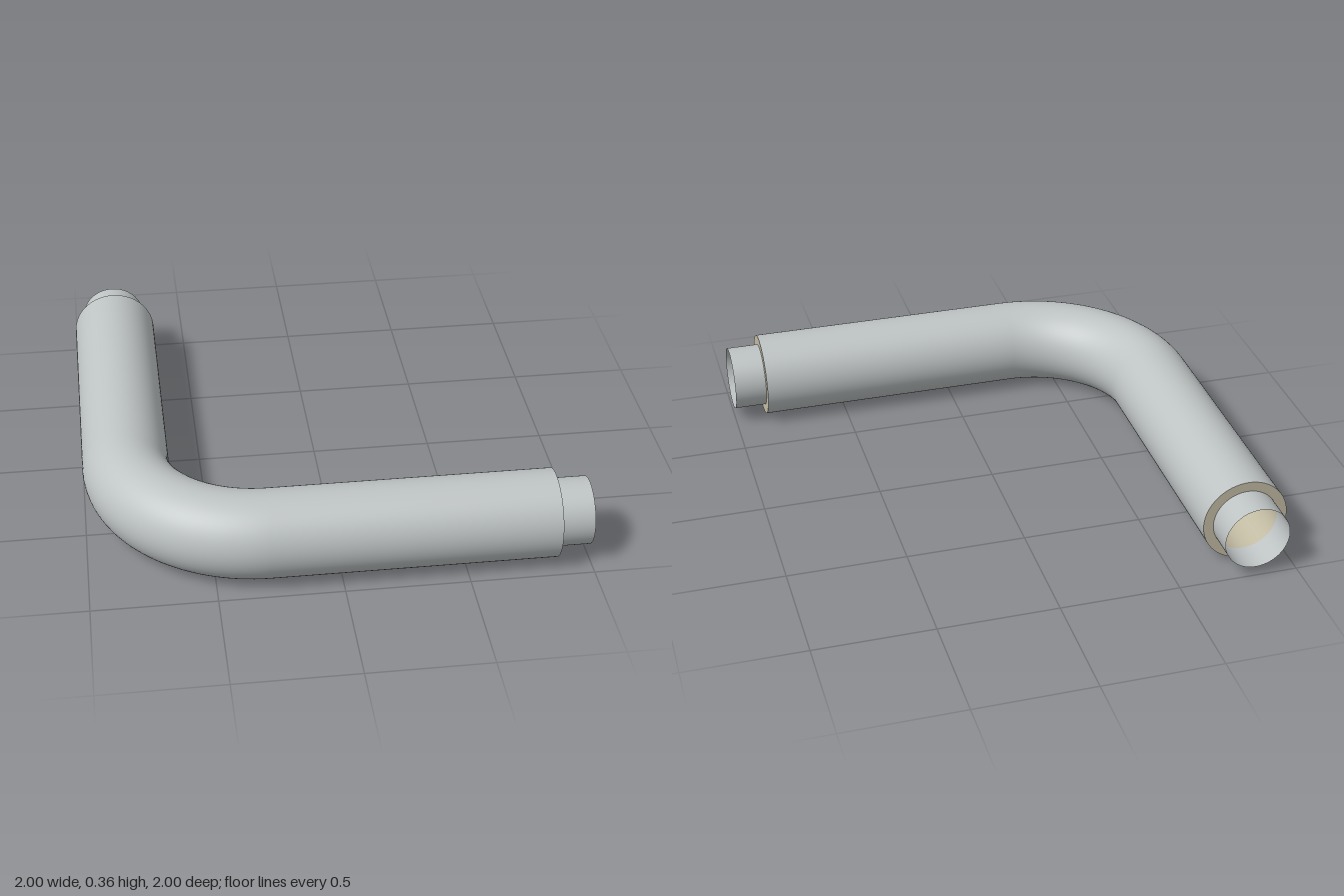
import * as THREE from 'three';

const OUTER = 0.179;        // jacket radius
const BORE = 0.137;         // inner pipe radius
const AXIS = 1 - OUTER;     // distance of each leg's axis from the centre
const BEND = 3 * OUTER;     // bend radius of the axis
const END = 0.862;          // where the jacket stops
const SIDES = 64;

// Axis of the elbow: straight leg, quarter bend, straight leg
class ElbowAxis extends THREE.Curve {
  getPoint(t, target = new THREE.Vector3()) {
    const corner = AXIS - BEND;
    const leg = END + corner;
    const arc = BEND * Math.PI / 2;
    const s = t * (2 * leg + arc);
    if (s <= leg) return target.set(-AXIS, OUTER, s - END);
    if (s >= leg + arc) return target.set(s - leg - arc - corner, OUTER, AXIS);
    const a = (s - leg) / BEND;
    return target.set(-corner - BEND * Math.cos(a), OUTER, corner + BEND * Math.sin(a));
  }
  getPointAt(t, target) { return this.getPoint(t, target); }
  getTangentAt(t, target) { return this.getTangent(t, target); }
}

export function createModel() {
  const group = new THREE.Group();
  const steel = new THREE.MeshStandardMaterial({ name: 'grey steel', color: 0xbec3c3, side: THREE.DoubleSide });
  const foam = new THREE.MeshStandardMaterial({ name: 'beige insulation', color: 0xc3bca4, side: THREE.DoubleSide });

  const add = (name, geometry, material, parent = group) => {
    const mesh = new THREE.Mesh(geometry, material);
    mesh.name = name;
    parent.add(mesh);
    return mesh;
  };

  // Outer jacket and the lining of the bore follow the same axis
  const axis = new ElbowAxis();
  add('jacket', new THREE.TubeGeometry(axis, 120, OUTER, SIDES), steel);
  add('insulationBore', new THREE.TubeGeometry(axis, 120, BORE, SIDES), foam);

  // Each end: insulation ring and a thin open pipe stub, built along +z
  const addEnd = (name, x, z, turn) => {
    const end = new THREE.Group();
    end.name = name;
    end.position.set(x, OUTER, z);
    end.rotation.y = turn;
    group.add(end);
    add('insulationRing', new THREE.RingGeometry(BORE, OUTER, SIDES), foam, end);
    const length = 1 - END;
    const stub = new THREE.CylinderGeometry(BORE, BORE, length, SIDES, 1, true);
    stub.rotateX(Math.PI / 2).translate(0, 0, length / 2);
    add('pipeStub', stub, steel, end);
  };
  addEnd('backEnd', -AXIS, -END, Math.PI);
  addEnd('leftEnd', END, AXIS, Math.PI / 2);

  return group;
}
